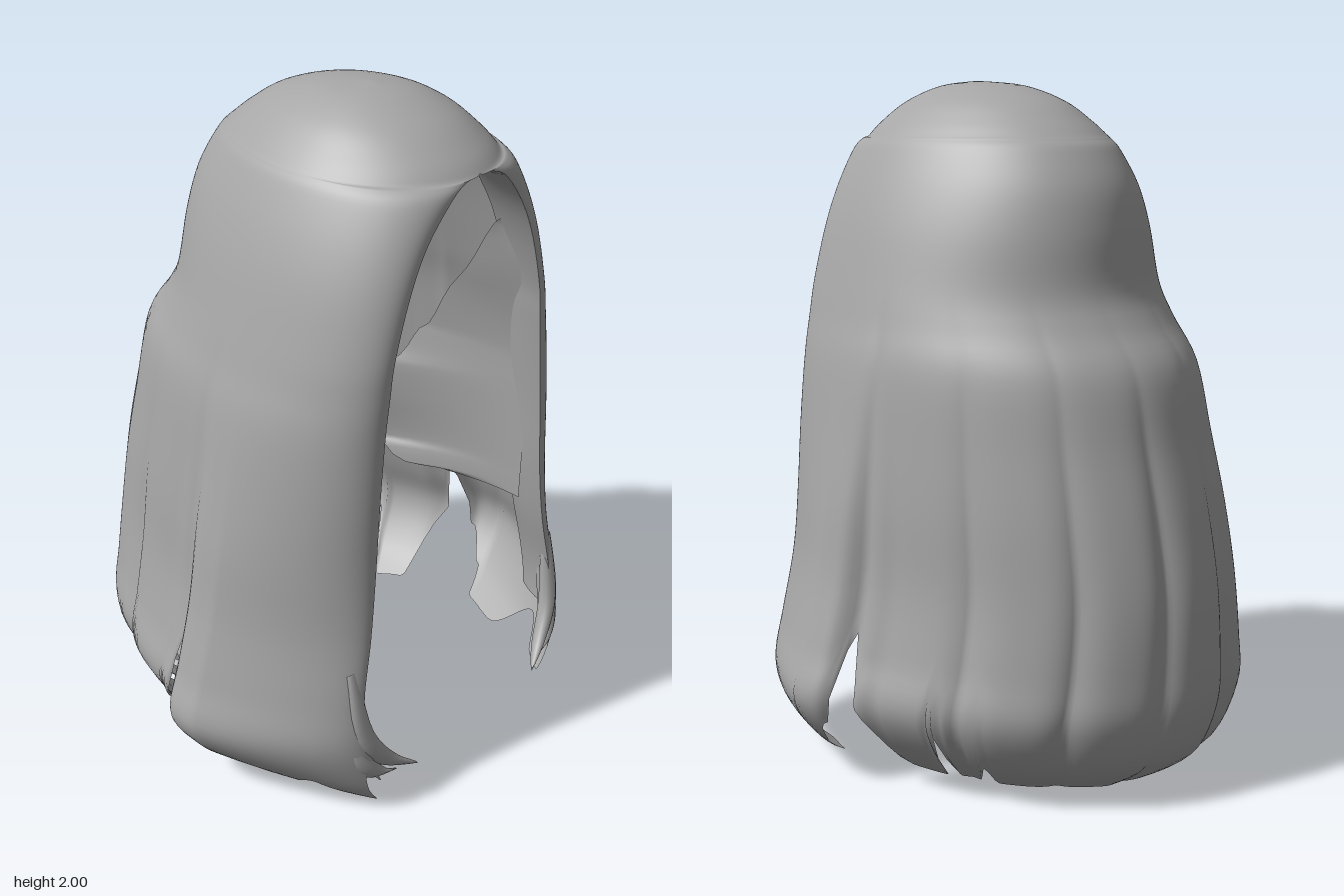
import * as THREE from 'three';
import { mergeVertices } from 'three/addons/utils/BufferGeometryUtils.js';

// Cross-sections from crown to hem: height, half width, half opening, front z, back z
const KEYS = [
  [2.0, 0, 0, 0.22, 0.22], [1.985, 0.11, 0, 0.33, 0.05], [1.94, 0.2, 0, 0.45, -0.09],
  [1.88, 0.265, 0, 0.54, -0.185], [1.84, 0.3, 0, 0.58, -0.235], [1.832, 0.307, 0.055, 0.582, -0.245],
  [1.8, 0.328, 0.115, 0.585, -0.277], [1.7, 0.375, 0.2, 0.58, -0.335], [1.58, 0.42, 0.26, 0.58, -0.365],
  [1.42, 0.467, 0.31, 0.58, -0.385], [1.32, 0.495, 0.325, 0.58, -0.44], [1.2, 0.53, 0.34, 0.58, -0.53],
  [1.0, 0.57, 0.36, 0.585, -0.585], [0.8, 0.61, 0.375, 0.59, -0.64], [0.6, 0.645, 0.4, 0.6, -0.68],
  [0.4, 0.7, 0.44, 0.615, -0.69], [0.25, 0.74, 0.44, 0.64, -0.68], [0.1, 0.64, 0.4, 0.66, -0.62],
  [0, 0.5, 0.33, 0.68, -0.48],
];
const LAST = KEYS.length - 1;
const APEX = 4; // section where the face opening begins
const LOOSE = 14; // section below which the locks part

// Ragged hem height along half of the outline: 0 = face edge, 1 = middle of the back
const HEM = [
  [0, 0.12], [0.04, 0.17], [0.1, 0.02], [0.15, 0.03], [0.19, 0.11], [0.28, 0.02], [0.34, 0.03],
  [0.36, 0.1], [0.4, 0.2], [0.42, 0.46], [0.44, 0.22], [0.476, 0.03], [0.535, 0.02], [0.55, 0.2],
  [0.565, 0.03], [0.6, 0.02], [0.615, 0.11], [0.635, 0.02], [0.8, 0.02], [0.9, 0.0], [1, 0.015],
];

// Inner edge of the cheek lining: height, x, z
const LINING = [
  [1.6, 0.27, 0.46], [1.4, 0.315, 0.32], [1.2, 0.33, 0.2], [1.1, 0.31, 0.14], [1.0, 0.25, 0.08],
  [0.88, 0.21, 0.02], [0.76, 0.24, 0.05], [0.7, 0.25, 0.12], [0.65, 0.34, 0.28],
];

// Smooth interpolation between the rows of a table
function blendRows(rows, v) {
  const n = rows.length - 1;
  const i = Math.min(Math.floor(v), n - 1), f = v - i;
  const k = (r) => rows[Math.max(0, Math.min(n, r))];
  return rows[0].map((_, c) => {
    const a = k(i - 1)[c], b = k(i)[c], d = k(i + 1)[c], e = k(i + 2)[c];
    return b + 0.5 * f * (d - a + f * (2 * a - 5 * b + 4 * d - e + f * (3 * (b - d) + e - a)));
  });
}

function hemHeight(t) {
  const i = Math.max(1, HEM.findIndex((h) => h[0] >= t));
  const [t0, y0] = HEM[i - 1], [t1, y1] = HEM[i];
  return THREE.MathUtils.lerp(y0, y1, THREE.MathUtils.smoothstep(t, t0, t1));
}

// Section index at which a column reaches its hem height
function hemSection(t) {
  const y = hemHeight(t);
  let lo = LOOSE, hi = LAST;
  for (let n = 0; n < 20; n++) {
    const mid = (lo + hi) / 2;
    if (blendRows(KEYS, mid)[0] > y) lo = mid; else hi = mid;
  }
  return lo;
}

// Point on the hair: u runs from the left face edge round the back to the right one
function hairPoint(u, v01) {
  const side = u <= 0.5 ? 1 : -1;
  const t = 1 - Math.abs(2 * u - 1);
  let v = v01 * LAST;
  if (v > LOOSE) v = LOOSE + (v - LOOSE) * (hemSection(t) - LOOSE) / (LAST - LOOSE);
  const [y, w, f0, zf, zb] = blendRows(KEYS, v);
  const f = v <= APEX ? 0 : Math.max(0, f0);
  const zc = 0.22;
  const low = 1 - THREE.MathUtils.smoothstep(y, 0.4, 1.4);
  let x, z;
  if (t < 0.35) {
    // Front curtain, flatter towards the hem
    const a = t / 0.35 * Math.PI / 2;
    const bulge = THREE.MathUtils.lerp(Math.sin(a), 1 - Math.cos(a), 0.5 * low);
    x = f + (w - f) * bulge;
    z = zc + (zf - zc) * Math.cos(a);
  } else {
    // Back locks, set in behind the front curtain
    const a = (t - 0.35) / 0.65 * Math.PI / 2;
    x = w * Math.cos(a) * (1 - 0.1 * low * THREE.MathUtils.smoothstep(t, 0.39, 0.47));
    z = zc + (zb - zc) * Math.sin(a);
  }
  // Soft grooves between the back locks and a deeper one behind the curtain
  const groove = t > 0.42
    ? (1 - Math.abs(Math.sin((t - 0.42) / 0.58 * 3.5 * Math.PI))) ** 2 : 0;
  const parting = Math.max(0, 1 - Math.abs(t - 0.42) / 0.04) ** 2;
  const depth = 1 - THREE.MathUtils.smoothstep(y, 0.5, 1.5);
  const s = 1 - depth * Math.max(0.028 * groove, 0.055 * parting);
  return [side * Math.max(0, x) * s, y, zc + (z - zc) * (z < zc ? s : 1)];
}

// Smooth surface from a point rule over a grid
function sheet(nu, nv, rule) {
  const pos = [], idx = [];
  for (let j = 0; j <= nv; j++) for (let i = 0; i <= nu; i++) pos.push(...rule(i / nu, j / nv));
  for (let j = 0; j < nv; j++) for (let i = 0; i < nu; i++) {
    const a = j * (nu + 1) + i, b = a + nu + 1;
    idx.push(a, b, a + 1, b, b + 1, a + 1);
  }
  let g = new THREE.BufferGeometry();
  g.setAttribute('position', new THREE.Float32BufferAttribute(pos, 3));
  g.setIndex(idx);
  g = mergeVertices(g, 1e-5);
  g.computeVertexNormals();
  return g;
}

export function createModel() {
  const hair = new THREE.MeshStandardMaterial({ color: 0xa6a6a6, side: THREE.DoubleSide });
  hair.name = 'hair grey';
  const group = new THREE.Group();
  group.name = 'longHair';
  const add = (name, geometry) => {
    const mesh = new THREE.Mesh(geometry, hair);
    mesh.name = name;
    group.add(mesh);
  };

  // Main shell: crown, side curtains and back locks
  add('hairShell', sheet(280, 90, hairPoint));

  // Inner lip around the face opening
  add('faceLip', sheet(96, 6, (u, d) => {
    const s = 2 * u - 1;
    const v = APEX + Math.abs(s) * (16 - APEX);
    const [y, , f, zf] = blendRows(KEYS, v);
    const x = Math.abs(s) < 1e-6 ? 0 : Math.max(0, f);
    const top = Math.max(0, 1 - Math.abs(s) * 4);
    return [Math.sign(s) * x * (1 + 0.12 * d * d), y - 0.012 * top * Math.sin(d * Math.PI) + 0.05 * top * d * d, zf - 0.15 * d];
  }));

  // Back hem curling under
  add('curledHem', sheet(100, 6, (u, d) => {
    const uu = 0.32 + 0.36 * u;
    const [x, y, z] = hairPoint(uu, 1);
    const rise = 0.14 + 0.07 * Math.abs(2 * u - 1) + 0.008 * Math.sin(u * 31);
    return [x * (1 - 0.13 * d), y + (rise - y) * d * d, z + 0.13 * Math.sin(d * Math.PI / 2)];
  }));

  for (const side of [1, -1]) {
    const prefix = side > 0 ? 'left' : 'right';

    // Cheek lining running from the face edge inwards
    add(prefix + 'CheekLining', sheet(10, 32, (u, d) => {
      const [y, xe, ze] = blendRows(LINING, d * (LINING.length - 1));
      const xs = 0.38 - 0.1 * THREE.MathUtils.smoothstep(y, 1.1, 1.65);
      const ragged = 0.012 * u * Math.sin(d * 40);
      return [side * (xs + (xe - xs) * u * u), y + ragged, 0.52 + (ze - 0.52) * u];
    }));

    // Pointed wisps at the front corners
    const wisps = [
      [[0.46, 0.5, 0.58], [0.44, 0.27, 0.62], [0.37, 0.17, 0.65], [0.28, 0.12, 0.69]],
      [[0.47, 0.4, 0.56], [0.46, 0.22, 0.61], [0.41, 0.14, 0.64], [0.34, 0.12, 0.66]],
    ];
    wisps.forEach((pts, n) => {
      const path = new THREE.CatmullRomCurve3(pts.map(([x, y, z]) => new THREE.Vector3(side * x, y, z)));
      add(prefix + 'Wisp' + (n + 1), sheet(10, 16, (u, d) => {
        const c = path.getPoint(d), a = -u * Math.PI * 2;
        const r = 0.036 * Math.sin(Math.PI * Math.min(1, 0.12 + 0.88 * d)) ** 0.8;
        return [c.x + r * Math.cos(a), c.y + 0.6 * r * Math.sin(a), c.z + 0.7 * r * Math.sin(a)];
      }));
    });
  }
  return group;
}
